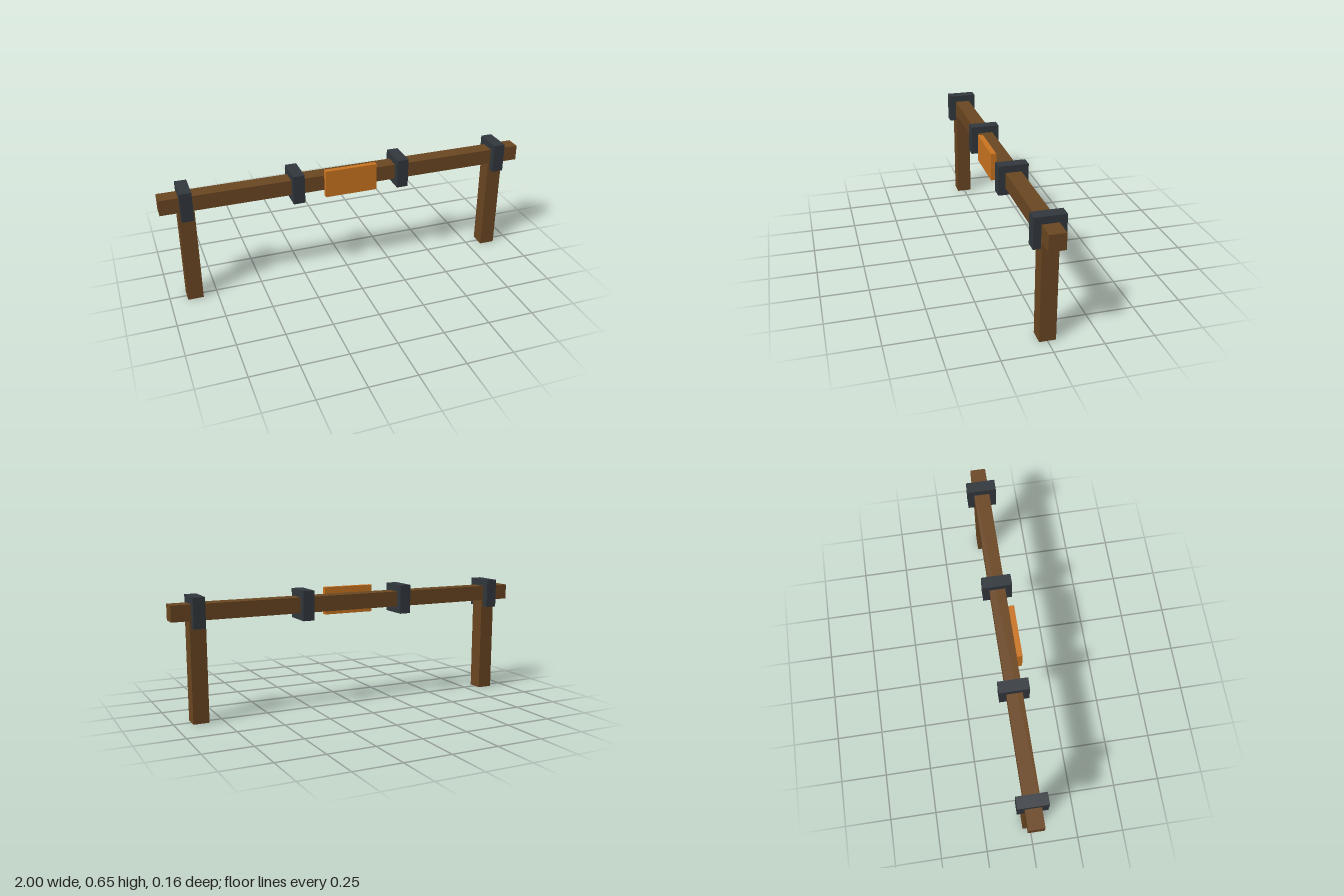
import * as THREE from 'three';

export function createModel() {
  const model = new THREE.Group();
  model.name = 'beamBarrier';

  const wood = new THREE.MeshStandardMaterial({ color: 0x6b4722 });
  const iron = new THREE.MeshStandardMaterial({ color: 0x32383e });
  const orange = new THREE.MeshStandardMaterial({ color: 0xcc7520 });

  function box(name, material, [w, h, d], [x, y, z]) {
    const mesh = new THREE.Mesh(new THREE.BoxGeometry(w, h, d), material);
    mesh.name = name;
    mesh.position.set(x, y, z);
    model.add(mesh);
  }

  const thick = 0.083; // timber thickness
  const beamY = 0.567; // height of the beam's centre line
  const postHeight = beamY - thick / 2;

  // Horizontal timber
  box('beam', wood, [2, thick, thick], [0, beamY, 0]);

  // Posts and iron bands, mirrored about the middle
  for (const [side, label] of [[1, 'left'], [-1, 'right']]) {
    box(label + 'Post', wood, [thick, postHeight, thick], [side * 0.868, postHeight / 2, 0]);
    box(label + 'OuterBand', iron, [0.062, 0.157, 0.157], [side * 0.868, beamY, 0]);
    box(label + 'InnerBand', iron, [0.062, 0.157, 0.157], [side * 0.289, beamY, 0]);
  }

  // Plate fixed to the front face of the beam
  box('frontPlate', orange, [0.283, 0.148, 0.028], [0, 0.569, thick / 2 + 0.014]);

  return model;
}
